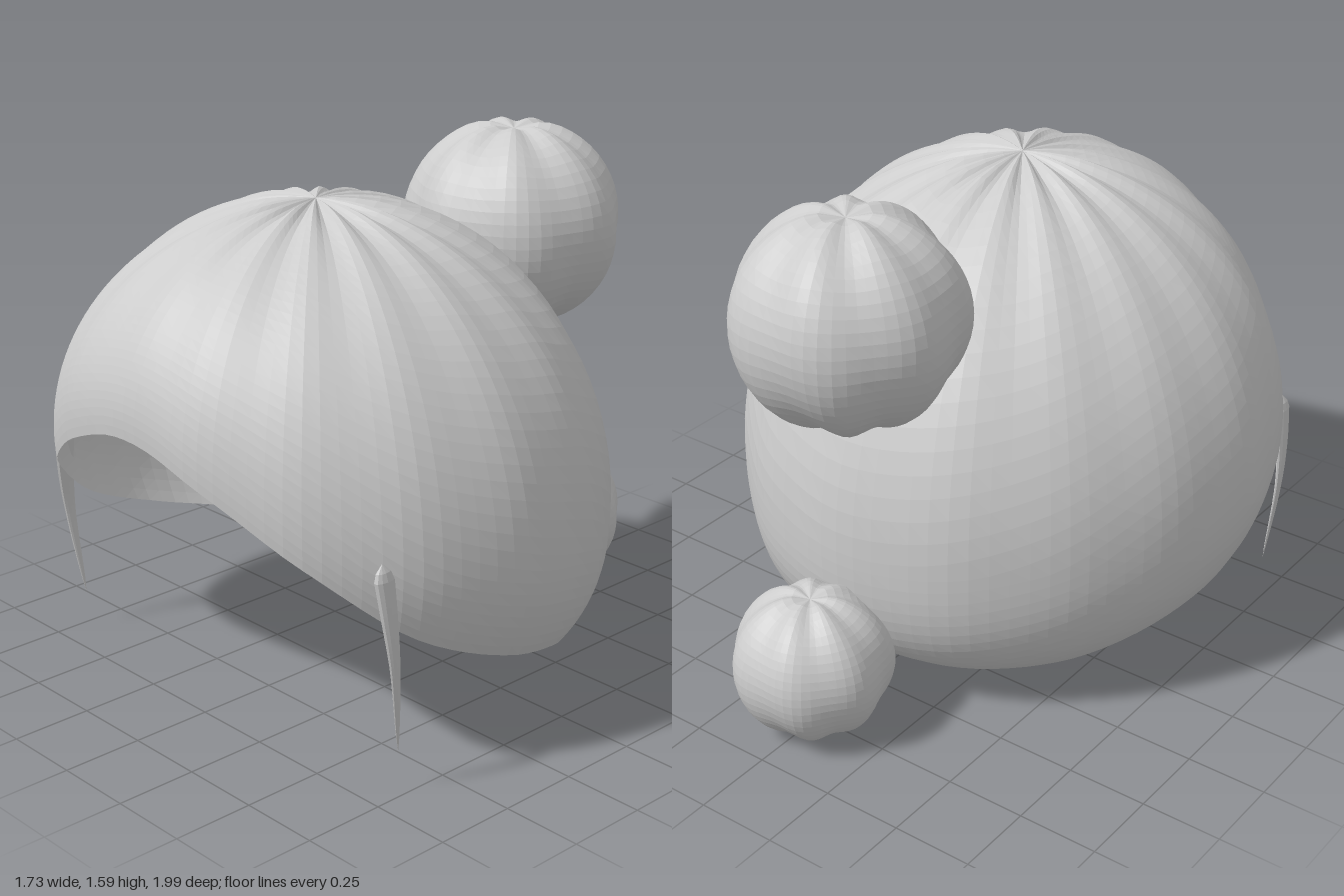
import * as THREE from 'three';

const hair = new THREE.MeshStandardMaterial({ color: 0xcccccc, flatShading: true, side: THREE.DoubleSide });
hair.name = 'hair grey';

// Closed loops of cross-sections: point(angle, t) with t running from top to bottom
function loft(name, around, down, point) {
  const pos = [], index = [];
  for (let j = 0; j <= down; j++)
    for (let i = 0; i < around; i++) pos.push(...point((i / around) * Math.PI * 2, j / down));
  for (let j = 0; j < down; j++)
    for (let i = 0; i < around; i++) {
      const k = (i + 1) % around;
      const a = j * around + i, b = j * around + k, c = a + around, d = b + around;
      index.push(a, c, d, a, d, b);
    }
  const g = new THREE.BufferGeometry();
  g.setAttribute('position', new THREE.Float32BufferAttribute(pos, 3));
  g.setIndex(index);
  g.computeVertexNormals();
  const mesh = new THREE.Mesh(g, hair);
  mesh.name = name;
  return mesh;
}

// Smooth value at an angle, from samples every 22.5 degrees front to back, mirrored left to right
function around(samples, angle) {
  const n = samples.length - 1;
  const f = (angle > Math.PI ? 2 * Math.PI - angle : angle) / Math.PI * n;
  const i = Math.min(Math.floor(f), n - 1), t = f - i;
  const at = k => samples[k < 0 ? -k : k > n ? 2 * n - k : k];
  const [p0, p1, p2, p3] = [at(i - 1), at(i), at(i + 1), at(i + 2)];
  return p1 + 0.5 * t * (p2 - p0 + t * (2 * p0 - 5 * p1 + 4 * p2 - p3 + t * (3 * (p1 - p2) + p3 - p0)));
}

// Cap: radius and height of the widest line, and height of the hem
const RADIUS = [0.715, 0.745, 0.795, 0.84, 0.865, 0.868, 0.88, 0.91, 0.92];
const WAIST = [0.98, 0.91, 0.76, 0.66, 0.6, 0.58, 0.56, 0.55, 0.55];
const HEM = [0.94, 0.86, 0.68, 0.455, 0.32, 0.23, 0.11, 0.05, 0.03];

function capPoint(a, t) {
  const R = around(RADIUS, a), waist = around(WAIST, a), hem = around(HEM, a);
  const back = Math.max(0, -Math.cos(a));
  const depth = 0.66 - 0.088 * back, power = 2 + back;
  const end = Math.PI / 2 + Math.asin(Math.min(1, (waist - hem) / depth));
  const phi = t * end;
  let r, y;
  if (phi < Math.PI / 2) {
    r = R * Math.sin(phi);
    y = waist + (1.5 - waist) * Math.cos(phi);
  } else {
    const s = Math.sin(phi - Math.PI / 2);
    r = R * Math.pow(1 - Math.pow(s, power), 1 / power);
    y = waist - depth * s;
  }
  // Combed ridges fanning out of the crown
  const fade = Math.min(1, phi / 0.2) * Math.exp(-phi * 1.1);
  const ridge = 0.013 * Math.cos(16 * a) * fade;
  r += ridge * Math.sin(phi);
  y += ridge * Math.max(0, Math.cos(phi));
  return [r * Math.sin(a), y, 0.285 + r * Math.cos(a)];
}

// Bun: lobed ball with twisted folds and dimpled poles
function bun(name, rx, ry, rz, y, z) {
  const mesh = loft(name, 56, 28, (a, t) => {
    const phi = t * Math.PI, s = Math.sin(phi), c = Math.cos(phi);
    const lobe = 1 + 0.03 * Math.cos(7 * a + 1.6 * c) * Math.min(1, s * 2.5);
    const dimple = 1 - 0.08 * Math.exp(-Math.pow(s / 0.18, 2));
    return [rx * s * lobe * Math.sin(a), ry * c * lobe * dimple, rz * s * lobe * Math.cos(a)];
  });
  mesh.position.set(0, y, z);
  return mesh;
}

// Thin tapering lock hanging beside the face
function sideLock(name, side) {
  const path = new THREE.CatmullRomCurve3([
    new THREE.Vector3(0.72, 0.71, 0.705), new THREE.Vector3(0.738, 0.55, 0.695),
    new THREE.Vector3(0.744, 0.4, 0.68), new THREE.Vector3(0.725, 0.13, 0.65)]);
  return loft(name, 12, 20, (a, t) => {
    const p = path.getPoint(t);
    const w = Math.sqrt(Math.min(1, t / 0.1)) * Math.pow(1 - t, 0.65);
    return [side * p.x + 0.016 * w * Math.sin(a), p.y, p.z + 0.038 * w * Math.cos(a)];
  });
}

export function createModel() {
  const group = new THREE.Group();
  group.name = 'hairstyle';
  group.add(
    loft('hairCap', 96, 36, capPoint),
    bun('upperBun', 0.34, 0.325, 0.34, 1.28, -0.548),
    bun('lowerBun', 0.24, 0.23, 0.235, 0.232, -0.76),
    sideLock('leftLock', 1),
    sideLock('rightLock', -1));
  return group;
}
